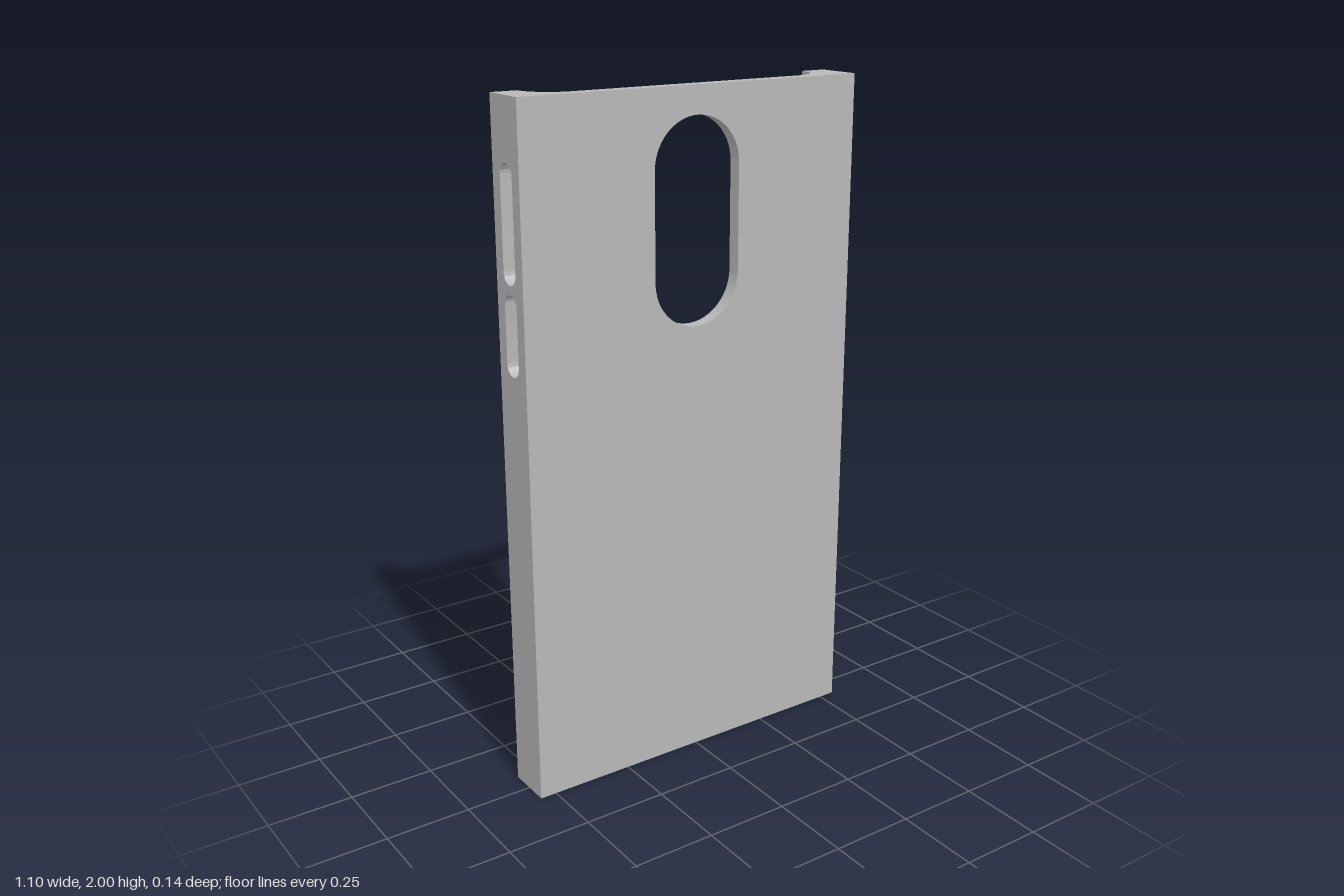
import * as THREE from 'three';
import { toCreasedNormals } from 'three/addons/utils/BufferGeometryUtils.js';

const H = 2, HALF_W = 0.55, HALF_D = 0.07;
const FLOOR_Z = 0.03;                    // inner face of the back panel
const ARC_X = 0.37, ARC_R = 0.1;         // inner fillet of the rails
const SLOT_DEPTH = 0.06;

// Vertical stadium outline between y0 and y1
function stadium(r, y0, y1) {
  const p = new THREE.Path();
  p.absarc(0, y1 - r, r, 0, Math.PI, false);
  p.absarc(0, y0 + r, r, Math.PI, Math.PI * 2, false);
  p.closePath();
  return p;
}

function rect(halfWidth) {
  return new THREE.Shape([
    new THREE.Vector2(-halfWidth, 0), new THREE.Vector2(halfWidth, 0),
    new THREE.Vector2(halfWidth, H), new THREE.Vector2(-halfWidth, H),
  ]);
}

function extrude(shape, depth) {
  return new THREE.ExtrudeGeometry(shape, { depth, bevelEnabled: false, curveSegments: 24 });
}

// Rail cross-section with a concave inner fillet (shape y is -z)
function railGeometry(side, outerX) {
  const s = new THREE.Shape();
  s.moveTo(side * ARC_X, -HALF_D);
  s.lineTo(side * outerX, -HALF_D);
  s.lineTo(side * outerX, HALF_D);
  s.lineTo(side * (ARC_X + ARC_R), HALF_D);
  if (side > 0) s.absarc(ARC_X, HALF_D, ARC_R, 0, -Math.PI / 2, true);
  else s.absarc(-ARC_X, HALF_D, ARC_R, Math.PI, Math.PI * 1.5, false);
  s.closePath();
  return extrude(s, H).rotateX(-Math.PI / 2);
}

export function createModel() {
  const model = new THREE.Group();
  model.name = 'phoneCase';
  const grey = new THREE.MeshStandardMaterial({ color: 0xb8b8b8 });
  grey.name = 'grey';

  const add = (name, geometry) => {
    const mesh = new THREE.Mesh(toCreasedNormals(geometry, 0.5), grey);
    mesh.name = name;
    model.add(mesh);
  };

  // Flat panel with the camera window
  const panel = rect(ARC_X);
  panel.holes.push(stadium(0.14, 1.335, 1.92));
  add('panel', extrude(panel, HALF_D - FLOOR_Z).translate(0, 0, FLOOR_Z));

  // Side rails; the -x one is shallower to leave room for the slotted skin
  add('leftRail', railGeometry(1, HALF_W));
  add('rightRail', railGeometry(-1, HALF_W - SLOT_DEPTH));

  // Outer skin with the two button slots
  const skin = rect(HALF_D);
  skin.holes.push(stadium(0.032, 1.51, 1.83), stadium(0.032, 1.26, 1.485));
  add('buttonSlotSide', extrude(skin, SLOT_DEPTH).rotateY(Math.PI / 2).translate(-HALF_W, 0, 0));

  return model;
}
